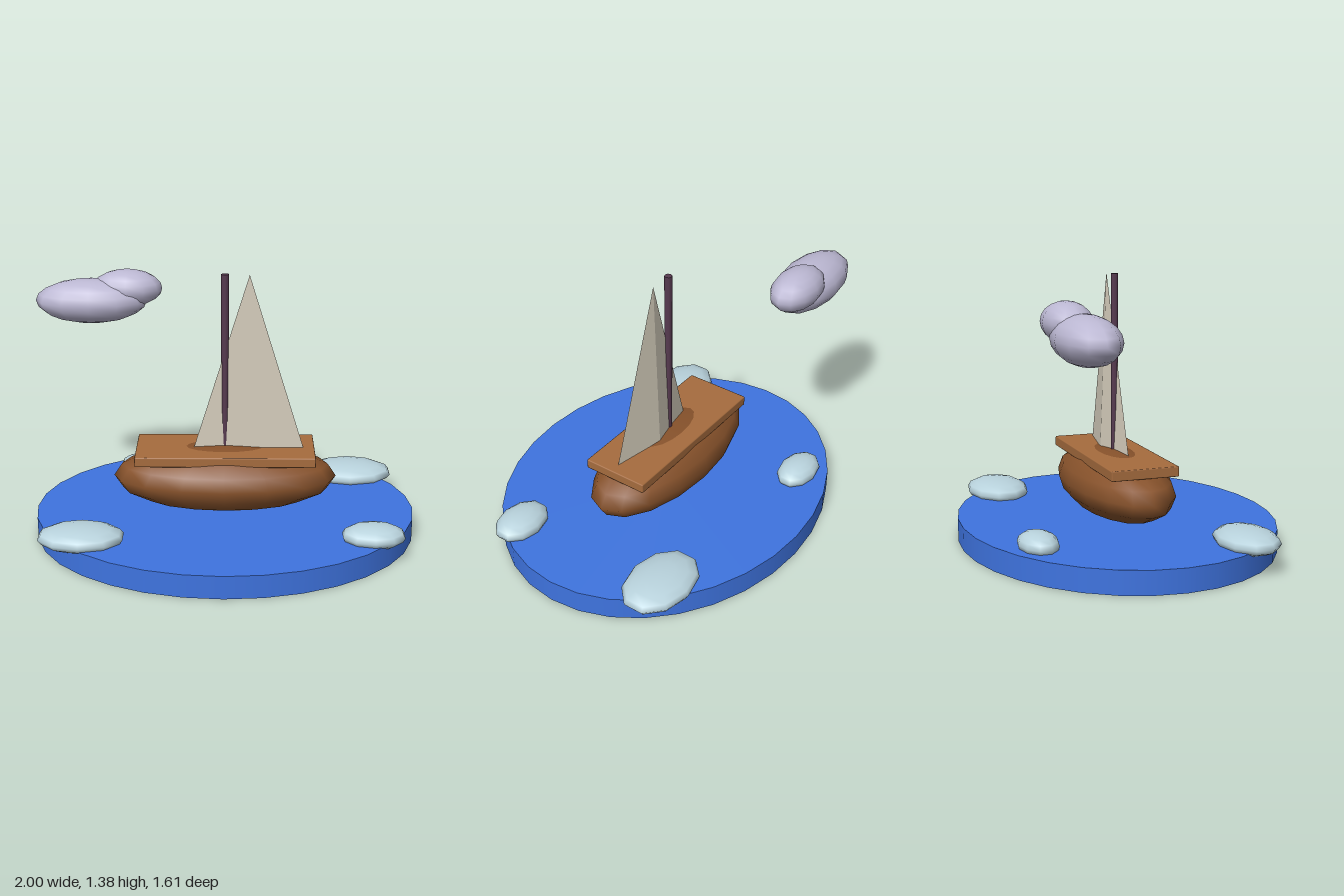
import * as THREE from 'three';
import { RoundedBoxGeometry } from 'three/addons/geometries/RoundedBoxGeometry.js';

const paint = (name, color) => Object.assign(new THREE.MeshStandardMaterial({ color }), { name });

export function createModel() {
  const model = new THREE.Group();
  model.name = 'sailboatScene';

  const water = paint('waterBlue', 0x3f74e0);
  const hullWood = paint('hullBrown', 0x87522b);
  const deckWood = paint('deckBrown', 0xa66c3e);
  const mastWood = paint('mastPurple', 0x573a50);
  const canvas = paint('sailCream', 0xd6cebd);
  canvas.flatShading = true;
  const ice = paint('iceBlue', 0xb9d3dd);
  const vapour = paint('cloudLilac', 0xbcb8d3);

  const add = (name, geometry, material, position, scale = [1, 1, 1], parent = model) => {
    const mesh = new THREE.Mesh(geometry, material);
    mesh.name = name;
    mesh.position.set(...position);
    mesh.scale.set(...scale);
    parent.add(mesh);
    return mesh;
  };

  // Oval pool of water
  add('water', new THREE.CylinderGeometry(1, 1, 0.12, 32), water, [0.01, 0.06, 0], [0.988, 1, 0.805]);

  // Boat: rounded hull whose crown rises just through the deck
  const boat = new THREE.Group();
  boat.name = 'boat';
  model.add(boat);
  add('hull', new THREE.SphereGeometry(1, 16, 8), hullWood, [0.01, 0.3, 0], [0.58, 0.175, 0.252], boat);
  add('deck', new RoundedBoxGeometry(0.924, 0.052, 0.352, 1, 0.006), deckWood, [0.012, 0.437, -0.002], [1, 1, 1], boat);
  add('mast', new THREE.CylinderGeometry(0.02, 0.02, 0.93, 8), mastWood, [0.01, 0.913, 0], [1, 1, 1], boat);

  // Thin three-sided sail with its ridge at the back
  const sail = new THREE.ConeGeometry(1, 0.92, 3).rotateY(Math.PI);
  add('sail', sail, canvas, [0.133, 0.915, 0], [0.33, 1, 0.036], boat);

  // Ice floes: x, z, half width, half depth
  const floe = new THREE.SphereGeometry(1, 10, 8, Math.PI / 2);
  [
    [-0.705, 0.42, 0.222, 0.153],
    [0.757, 0.39, 0.163, 0.115],
    [0.697, -0.45, 0.238, 0.165],
    [-0.435, -0.545, 0.15, 0.1],
  ].forEach(([x, z, rx, rz], i) =>
    add(`iceFloe${i + 1}`, floe, ice, [x, 0.14, z], [rx, 0.06, rz]));

  // Two overlapping cloud puffs
  const puff = new THREE.SphereGeometry(1, 12, 10);
  const cloud = new THREE.Group();
  cloud.name = 'cloud';
  model.add(cloud);
  add('largePuff', puff, vapour, [-0.705, 1.138, -0.39], [0.295, 0.118, 0.148], cloud);
  add('smallPuff', puff, vapour, [-0.515, 1.2, -0.42], [0.187, 0.1, 0.118], cloud);

  return model;
}
